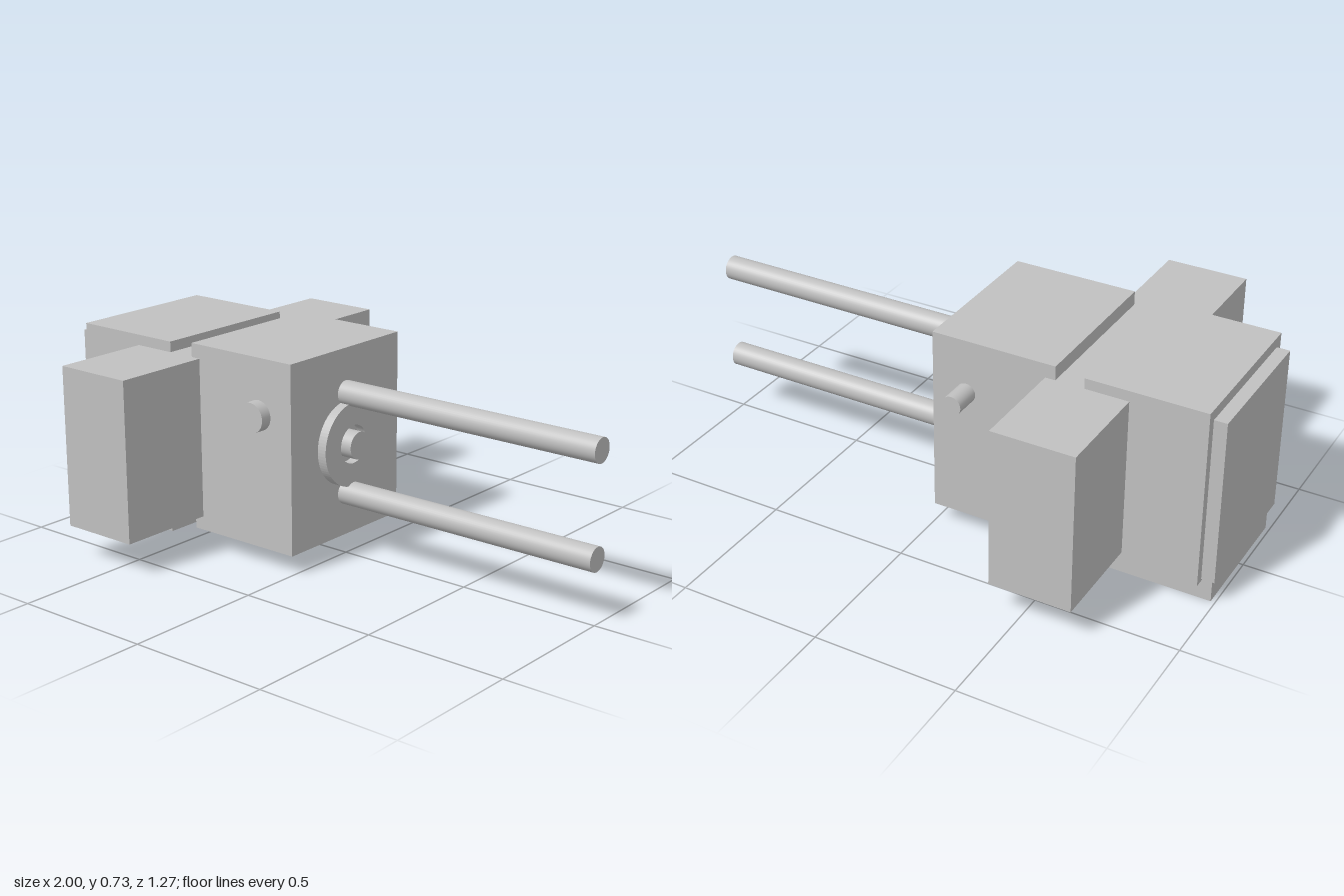
import * as THREE from 'three';

export function createModel() {
  const root = new THREE.Group();
  root.name = 'twinRodMachine';
  const grey = new THREE.MeshStandardMaterial({ color: 0xc0c0c0 });
  grey.name = 'plain grey';

  const add = (name, geometry) => {
    const mesh = new THREE.Mesh(geometry, grey);
    mesh.name = name;
    root.add(mesh);
    return mesh;
  };
  // Block between two x and two y limits, symmetric in z
  const block = (name, x0, x1, y0, y1, halfZ) =>
    add(name, new THREE.BoxGeometry(x1 - x0, y1 - y0, halfZ * 2))
      .position.set((x0 + x1) / 2, (y0 + y1) / 2, 0);
  // Cylinder along x
  const rodX = (name, r, x0, x1, y) => {
    const g = new THREE.CylinderGeometry(r, r, x1 - x0, 40).rotateZ(-Math.PI / 2);
    add(name, g).position.set((x0 + x1) / 2, y, 0);
  };
  // Cylinder along z
  const rodZ = (name, r, z0, z1, x, y) => {
    const g = new THREE.CylinderGeometry(r, r, z1 - z0, 40).rotateX(Math.PI / 2);
    add(name, g).position.set(x, y, (z0 + z1) / 2);
  };

  // Housings
  block('mainHousing', -0.44, 0, 0.068, 0.728, 0.281);
  block('crossHousing', -0.692, -0.405, 0.117, 0.679, 0.634);
  block('rearHousing', -0.955, -0.54, 0.082, 0.716, 0.281);
  block('rearPlate', -1, -0.955, 0.09, 0.679, 0.25);
  block('foot', -0.985, -0.608, 0, 0.082, 0.23);

  // Pair of long guide rods
  for (const [name, y] of [['upperRod', 0.574], ['lowerRod', 0.221]]) {
    rodX(name, 0.042, 0, 1, y);
  }

  // Ring on the end face with a stub shaft in its bore
  const ring = new THREE.Shape().absarc(0, 0, 0.147, 0, Math.PI * 2, false);
  ring.holes.push(new THREE.Path().absarc(0, 0, 0.067, 0, Math.PI * 2, true));
  const ringGeometry = new THREE.ExtrudeGeometry(ring, {
    depth: 0.034, bevelEnabled: false, curveSegments: 40,
  }).rotateY(Math.PI / 2);
  add('endRing', ringGeometry).position.set(0, 0.398, 0);
  rodX('stubShaft', 0.048, 0, 0.06, 0.398);

  // Knob on the front side, pin on the back side
  rodZ('frontKnob', 0.052, 0.302, 0.343, -0.122, 0.54);
  rodZ('backPin', 0.034, -0.375, -0.28, -0.122, 0.538);

  return root;
}
